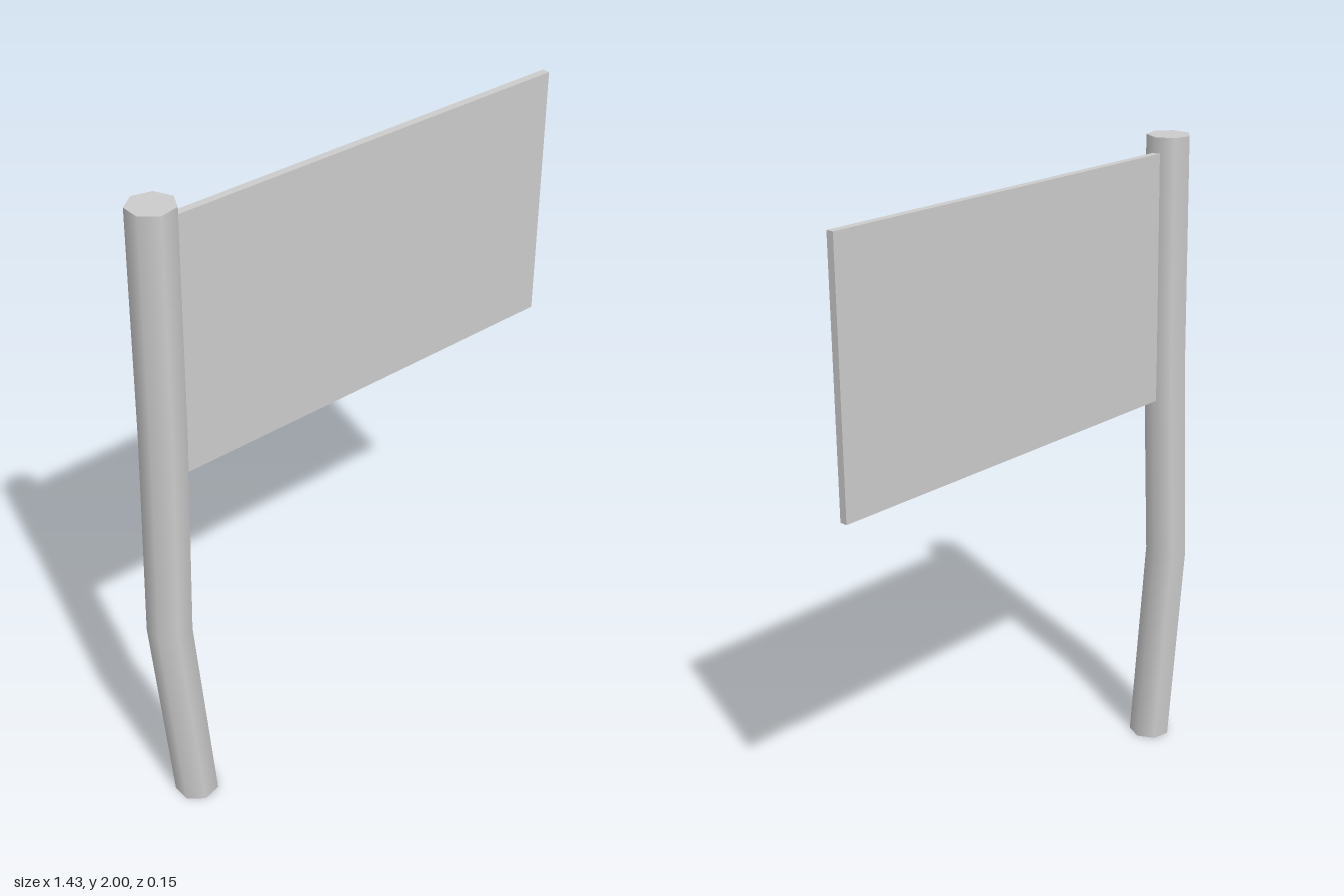
import * as THREE from 'three';

export function createModel() {
  const group = new THREE.Group();
  const material = new THREE.MeshStandardMaterial({ color: 0xcccccc });

  // Slightly crooked seven-sided pole: each ring is shifted to its own centre
  const centres = [[-0.614, 0.009], [-0.652, -0.009], [-0.633, 0.007], [-0.616, 0.008]];
  const poleGeometry = new THREE.CylinderGeometry(0.066, 0.066, 2, 7, 3, false, Math.PI / 2);
  poleGeometry.translate(0, 1, 0);
  const p = poleGeometry.attributes.position;
  for (let i = 0; i < p.count; i++) {
    const [cx, cz] = centres[Math.round(p.getY(i) * 1.5)];
    p.setX(i, p.getX(i) + cx);
    p.setZ(i, p.getZ(i) + cz);
  }
  const pole = new THREE.Mesh(poleGeometry, material);
  pole.name = 'pole';
  group.add(pole);

  // Thin flat flag, its inner edge sunk into the pole
  const left = -0.6, right = 0.717, bottom = 1.187, top = 1.953;
  const flag = new THREE.Mesh(new THREE.BoxGeometry(right - left, top - bottom, 0.023), material);
  flag.position.set((left + right) / 2, (bottom + top) / 2, 0.006);
  flag.name = 'flag';
  group.add(flag);

  return group;
}
